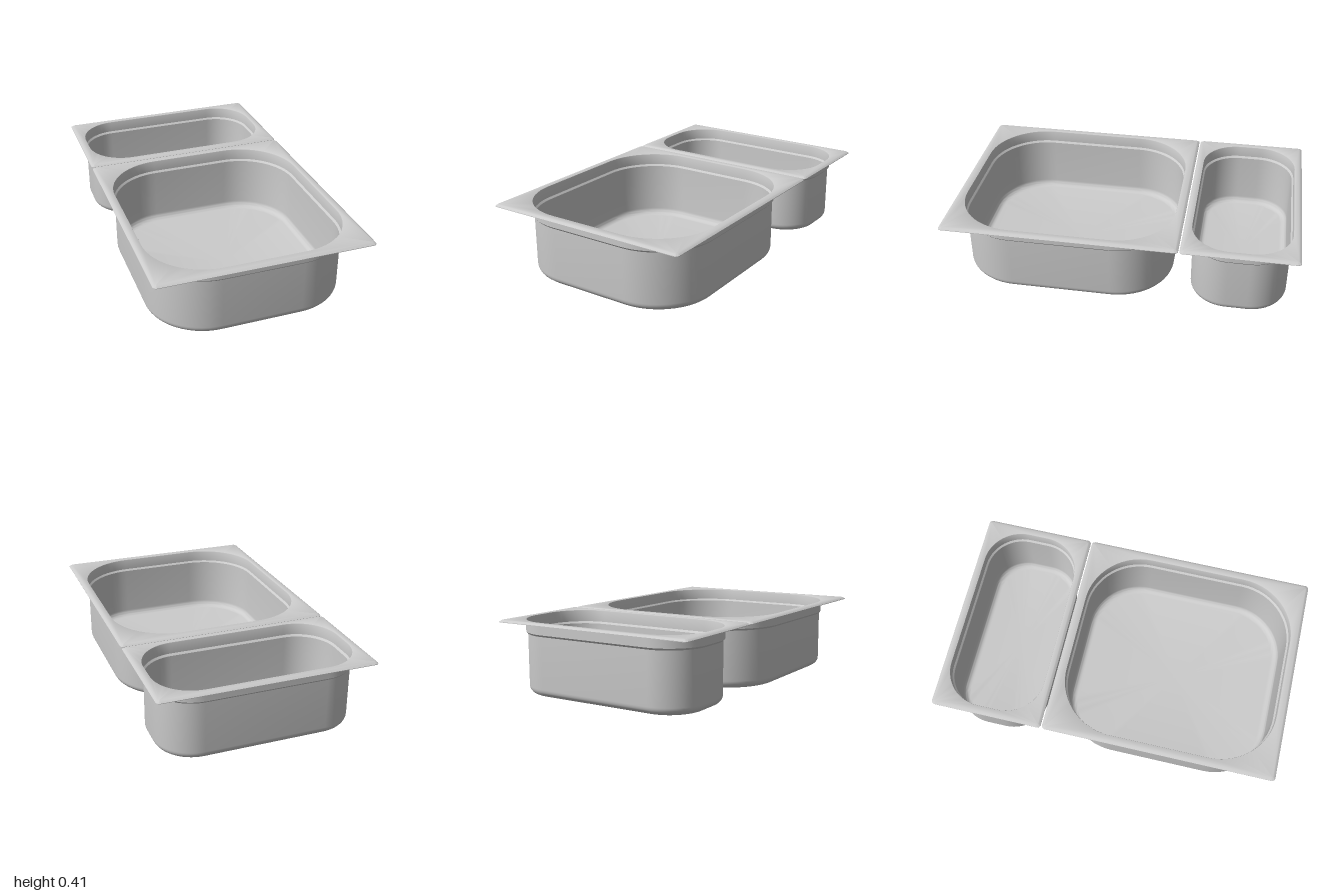
import * as THREE from 'three';
import { toCreasedNormals } from 'three/addons/utils/BufferGeometryUtils.js';

const CORNER = 14; // segments per rounded corner

// Rounded rectangle in the xz plane at height y
function ring(hx, hz, r, y) {
  const pts = [];
  [[1, 1], [-1, 1], [-1, -1], [1, -1]].forEach(([sx, sz], q) => {
    for (let i = 0; i <= CORNER; i++) {
      const a = (q + i / CORNER) * Math.PI / 2;
      pts.push([sx * (hx - r) + r * Math.cos(a), y, sz * (hz - r) + r * Math.sin(a)]);
    }
  });
  return pts;
}

// Skin a list of rings and close both ends with a fan
function loft(rings) {
  const n = rings[0].length, pos = rings.flat(2), idx = [];
  for (let k = 0; k < rings.length - 1; k++) {
    for (let j = 0; j < n; j++) {
      const a = k * n + j, c = k * n + (j + 1) % n;
      idx.push(a, c, a + n, c, c + n, a + n);
    }
  }
  const first = rings.length * n, last = first + 1, end = first - n;
  pos.push(0, rings[0][0][1], 0, 0, rings.at(-1)[0][1], 0);
  for (let j = 0; j < n; j++) {
    const m = (j + 1) % n;
    idx.push(first, m, j, last, end + j, end + m);
  }
  const geo = new THREE.BufferGeometry();
  geo.setAttribute('position', new THREE.Float32BufferAttribute(pos, 3));
  geo.setIndex(idx);
  return toCreasedNormals(geo, Math.PI / 6);
}

// Sheet-metal pan: bowl outline (hx, hz, r) and flat rim (rimX, rimZ)
function pan(name, { hx, hz, r, rimX, rimZ, z }) {
  const t = 0.005, step = 0.01, top = 0.415, fillet = 0.045;
  const wall = (inset, y) => ring(hx - inset, hz - inset, r - inset, y);
  const rim = (inset, y) => ring(rimX - inset, rimZ - inset, 0.02 - inset * 0.5, y);

  // Wall profile from floor to neck, moved inwards by the sheet thickness
  const bowl = (off) => {
    const out = [], R = fillet - off;
    for (let i = 0; i <= 8; i++) {
      const a = i / 8 * Math.PI / 2;
      out.push(wall(step + off + R * (1 - Math.sin(a)), off + R * (1 - Math.cos(a))));
    }
    out.push(wall(step + off, 0.336), wall(step * 0.7 + off, 0.34));
    out.push(wall(step * 0.3 + off, 0.343), wall(off, 0.347));
    return out;
  };

  const rings = [
    ...bowl(t),
    // opening edge, flat rim and its turned-down border
    wall(t, top - 0.005), wall(t - 0.0015, top - 0.0015), wall(t - 0.005, top),
    rim(0.016, top), rim(0.011, top - 0.002), rim(0, 0.405), rim(0, 0.402),
    rim(0.013, top - 0.006), wall(0, top - 0.006),
    ...bowl(0).reverse(),
  ];
  const mesh = new THREE.Mesh(loft(rings),
    new THREE.MeshStandardMaterial({ color: 0xcccccc, side: THREE.DoubleSide }));
  mesh.name = name;
  mesh.position.z = z;
  return mesh;
}

export function createModel() {
  const group = new THREE.Group();
  group.name = 'foodPans';
  group.add(
    pan('largePan', { hx: 0.567, hz: 0.624, r: 0.34, rimX: 0.61, rimZ: 0.6725, z: 0.3275 }),
    pan('smallPan', { hx: 0.567, hz: 0.284, r: 0.225, rimX: 0.61, rimZ: 0.324, z: -0.676 }),
  );
  return group;
}
